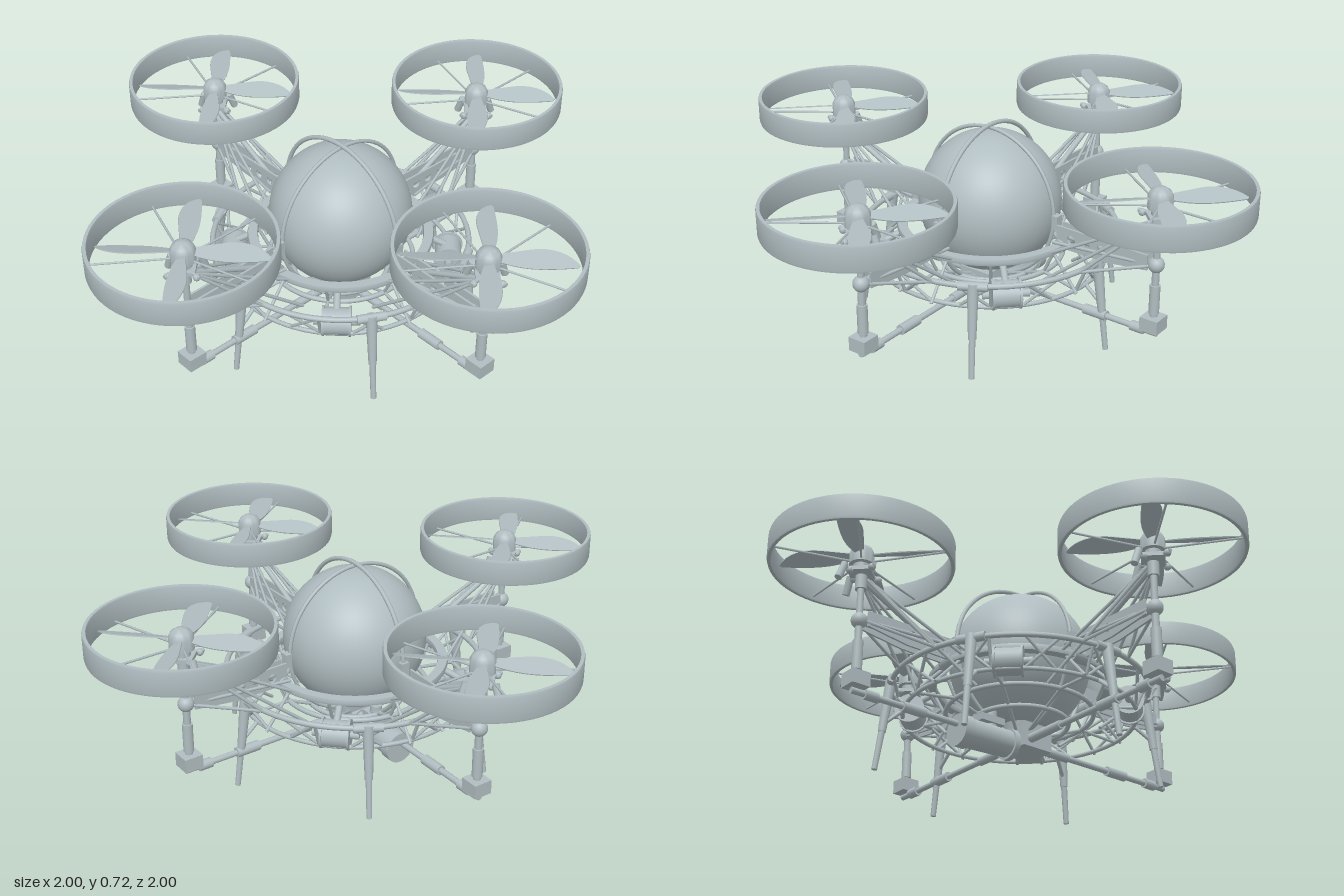
import * as THREE from 'three';
import { toCreasedNormals, mergeGeometries } from 'three/addons/utils/BufferGeometryUtils.js';

const steel = new THREE.MeshStandardMaterial({ color: 0xb0bdc1 });
steel.name = 'paleSteel';
const V = (x, y, z) => new THREE.Vector3(x, y, z);
const polar = (r, a, y) => V(r * Math.cos(a), y, r * Math.sin(a));

function add(parent, name, geo, x = 0, y = 0, z = 0) {
  const m = new THREE.Mesh(geo, steel);
  m.name = name;
  m.position.set(x, y, z);
  parent.add(m);
  return m;
}

// Cylinder between two points, ra at a and rb at b
function rodGeo(a, b, ra, rb = ra, sides = 10) {
  const d = b.clone().sub(a);
  const g = new THREE.CylinderGeometry(rb, ra, d.length(), sides);
  g.applyQuaternion(new THREE.Quaternion().setFromUnitVectors(V(0, 1, 0), d.normalize()));
  const c = a.clone().add(b).multiplyScalar(0.5);
  return g.translate(c.x, c.y, c.z);
}
const rod = (p, name, a, b, ra, rb, sides) => add(p, name, rodGeo(a, b, ra, rb, sides));
const rods = (p, name, list, r) => add(p, name, mergeGeometries(list.map(([a, b]) => rodGeo(a, b, r, r, 6))));

function ring(p, name, radius, tube, y) {
  const m = add(p, name, new THREE.TorusGeometry(radius, tube, 8, 72), 0, y, 0);
  m.rotation.x = Math.PI / 2;
  return m;
}
const lathe = (pts, seg = 64) =>
  toCreasedNormals(new THREE.LatheGeometry(pts.map(([r, y]) => new THREE.Vector2(r, y)), seg), 0.7);

// Ducted fan, built around its own axis
function makeRotor() {
  const g = new THREE.Group();
  g.name = 'rotor';
  add(g, 'duct', lathe([[0.3, 0.585], [0.311, 0.585], [0.313, 0.592], [0.313, 0.668], [0.311, 0.675],
    [0.3, 0.675], [0.298, 0.668], [0.298, 0.592], [0.3, 0.585]]));
  add(g, 'motorHub', lathe([[0, 0.555], [0.028, 0.555], [0.028, 0.59], [0.042, 0.592], [0.042, 0.635],
    [0.034, 0.652], [0.018, 0.663], [0, 0.666]], 28));
  const spokes = [];
  for (let i = 0; i < 5; i++) {
    const a = -i * Math.PI * 2 / 5;
    spokes.push([polar(0.02, a, 0.6), polar(0.3, a, 0.6)]);
  }
  rods(g, 'dustSpokes', spokes, 0.004).name = 'ductSpokes';

  const s = new THREE.Shape();
  s.moveTo(0.03, -0.014);
  s.bezierCurveTo(0.1, -0.04, 0.16, -0.045, 0.28, -0.03);
  s.lineTo(0.287, -0.022);
  s.bezierCurveTo(0.25, 0.03, 0.19, 0.042, 0.14, 0.034);
  s.lineTo(0.03, 0.014);
  const blade = new THREE.ExtrudeGeometry(s, { depth: 0.004, bevelEnabled: false, curveSegments: 8 });
  blade.rotateX(-Math.PI / 2 + 0.35);
  for (let i = 0; i < 4; i++) {
    add(g, 'blade', blade, 0, 0.625, 0).rotation.y = Math.PI / 4 + i * Math.PI / 2;
  }
  // Pitch servos and linkages below the hub
  add(g, 'servoPlate', new THREE.BoxGeometry(0.08, 0.014, 0.08), 0, 0.562, 0).rotation.y = Math.PI / 4;
  rod(g, 'linkageX', V(-0.08, 0.563, 0), V(0.08, 0.563, 0), 0.007);
  rod(g, 'linkageZ', V(0, 0.563, 0.08), V(0, 0.563, -0.08), 0.007);
  rod(g, 'servoX', V(0.065, 0.575, 0), V(0.088, 0.515, 0), 0.013);
  rod(g, 'servoZ', V(0, 0.575, -0.065), V(0, 0.515, -0.088), 0.013);
  for (const [x, z] of [[-0.065, 0], [0, 0.065], [0.045, 0], [0, -0.045]])
    add(g, 'linkageJoint', new THREE.SphereGeometry(0.013, 10, 8), x, 0.558, z);
  return g;
}

// Arm reaching out along +x
function makeArm() {
  const g = new THREE.Group();
  g.name = 'arm';
  const s = new THREE.Shape([[0.3, 0.345], [0.5, 0.345], [0.66, 0.365], [0.66, 0.42], [0.3, 0.425]]
    .map(([x, y]) => new THREE.Vector2(x, y)));
  for (const x of [0.36, 0.42, 0.48])
    s.holes.push(new THREE.Path().absarc(x, 0.385, 0.016, 0, Math.PI * 2, true));
  const plate = new THREE.ExtrudeGeometry(s, { depth: 0.008, bevelEnabled: false, curveSegments: 10 });
  for (const z of [-0.022, 0.014]) add(g, 'armPlate', plate, 0, 0, z);
  rod(g, 'armTube', V(0.3, 0.385, 0), V(0.69, 0.385, 0), 0.012);

  // Vertical post with ball joint and foot block
  add(g, 'ballJoint', new THREE.SphereGeometry(0.028, 20, 14), 0.683, 0.385, 0);
  rod(g, 'upperPost', V(0.683, 0.385, 0), V(0.683, 0.56, 0), 0.012);
  rod(g, 'postCollar', V(0.683, 0.5, 0), V(0.683, 0.55, 0), 0.02, 0.02, 16);
  rod(g, 'lowerPost', V(0.683, 0.17, 0), V(0.683, 0.385, 0), 0.013);
  rod(g, 'postSleeve', V(0.683, 0.205, 0), V(0.683, 0.31, 0), 0.018, 0.018, 16);
  add(g, 'postBlock', new THREE.BoxGeometry(0.068, 0.05, 0.068), 0.683, 0.168, 0);

  // Telescoping lower boom
  rod(g, 'lowerBoom', V(0.03, 0.13, 0), V(0.7, 0.13, 0), 0.011);
  for (const [a, b, r] of [[0.06, 0.22, 0.016], [0.41, 0.5, 0.018], [0.6, 0.65, 0.018]])
    rod(g, 'boomSleeve', V(a, 0.13, 0), V(b, 0.13, 0), r, r, 14);

  // Diagonal stays from the rotor to the frame
  const stays = [];
  for (const k of [-1, 1]) {
    stays.push([V(0.67, 0.535, 0.015 * k), V(0.45, 0.325, 0.1 * k)],
      [V(0.67, 0.535, 0.015 * k), V(0.3, 0.34, 0.08 * k)],
      [V(0.66, 0.53, 0.02 * k), V(0.28, 0.23, 0.11 * k)],
      [V(0.68, 0.385, 0.01 * k), V(0.45, 0.325, 0.1 * k)],
      [V(0.67, 0.385, 0.01 * k), V(0.31, 0.38, 0.06 * k)],
      [V(0.42, 0.22, 0.07 * k), V(0.3, 0.345, 0.05 * k)]);
  }
  rods(g, 'stays', stays, 0.006);
  rod(g, 'mainStay', V(0.665, 0.53, 0), V(0.32, 0.36, 0), 0.01);
  // Clamp where the arm meets the cradle
  rod(g, 'cradleClamp', V(0.313, 0.35, -0.03), V(0.313, 0.35, 0.03), 0.025, 0.025, 14);
  add(g, 'hoopClamp', new THREE.BoxGeometry(0.022, 0.05, 0.03), 0.285, 0.425, 0);
  return g;
}

export function createModel() {
  const model = new THREE.Group();
  model.name = 'quadRotorDrone';

  // Spherical body with crossed hoops
  add(model, 'sphereBody', new THREE.SphereGeometry(0.252, 64, 40), 0, 0.435, 0);
  add(model, 'sideHoop', new THREE.TorusGeometry(0.282, 0.008, 8, 72), 0, 0.432, 0).rotation.y = Math.PI / 2;
  add(model, 'frontHoop', new THREE.TorusGeometry(0.272, 0.007, 8, 72), 0, 0.432, 0);

  // Cradle rings
  add(model, 'cradleRing', lathe([[0.296, 0.335], [0.328, 0.335], [0.331, 0.345], [0.328, 0.357],
    [0.296, 0.357], [0.293, 0.345], [0.296, 0.335]]));
  ring(model, 'outerRing', 0.455, 0.01, 0.325);
  ring(model, 'lowerOuterRing', 0.41, 0.008, 0.225);
  ring(model, 'lowerInnerRing', 0.26, 0.009, 0.24);
  ring(model, 'bottomRing', 0.17, 0.009, 0.2);

  // Lattice between the rings
  const lattice = [];
  const n = 24;
  for (let i = 0; i < n; i++) {
    const a = (i + 0.5) * Math.PI * 2 / n, b = a + Math.PI * 2 / n;
    if (i % 2) lattice.push([polar(0.455, a, 0.325), polar(0.41, b, 0.225)],
      [polar(0.41, a, 0.225), polar(0.455, b, 0.325)]);
    if (i % 3 === 0) lattice.push([polar(0.455, a, 0.325), polar(0.41, a, 0.225)],
      [polar(0.31, a, 0.34), polar(0.26, a, 0.24)], [polar(0.26, a, 0.24), polar(0.06, a, 0.16)],
      [polar(0.41, a, 0.225), polar(0.26, a, 0.24)]);
  }
  rods(model, 'frameLattice', lattice, 0.006);

  // Arms and rotors
  for (let i = 0; i < 4; i++) {
    const arm = makeArm();
    arm.rotation.y = i * Math.PI / 2;
    model.add(arm);
    const rotor = makeRotor();
    rotor.position.copy(polar(0.685, i * Math.PI / 2, 0));
    model.add(rotor);

    // Diagonal drums
    const drum = new THREE.Group();
    drum.name = 'drum';
    drum.rotation.y = Math.PI / 4 + i * Math.PI / 2;
    rod(drum, 'drumBody', V(0.385, 0.26, -0.05), V(0.385, 0.26, 0.05), 0.047, 0.047, 24);
    for (const z of [-0.05, 0.042]) rod(drum, 'drumRim', V(0.385, 0.26, z), V(0.385, 0.26, z + 0.008), 0.053, 0.053, 24);
    rod(drum, 'drumAxle', V(0.385, 0.26, -0.08), V(0.385, 0.26, 0.08), 0.014);
    rod(drum, 'drumBracket', V(0.3, 0.335, 0), V(0.385, 0.29, 0), 0.012);
    model.add(drum);
  }

  // Six legs
  for (let i = 0; i < 6; i++) {
    const a = i * Math.PI / 3;
    rod(model, 'leg', polar(0.5, a, 0), polar(0.475, a, 0.18), 0.01, 0.012);
    rod(model, 'legSleeve', polar(0.48, a, 0.14), polar(0.455, a, 0.335), 0.014, 0.02, 14);
    const t = a + Math.PI / 2, c = polar(0.455, a, 0.325), d = polar(0.05, t, 0);
    rod(model, 'legClamp', c.clone().sub(d), c.clone().add(d), 0.016, 0.016, 12);
    rod(model, 'legBrace', polar(0.476, a, 0.17), polar(0.41, a, 0.225), 0.007);
  }

  // Central hub and rear camera pod
  add(model, 'hubBlock', new THREE.BoxGeometry(0.125, 0.09, 0.125), 0, 0.145, 0.03);
  rod(model, 'hubColumn', V(0, 0.13, 0), V(0, 0.22, 0), 0.05, 0.07, 24);
  rod(model, 'podBody', V(0, 0.113, -0.05), V(0, 0.108, -0.25), 0.048, 0.052, 32);
  rod(model, 'podRim', V(0, 0.108, -0.235), V(0, 0.108, -0.275), 0.057, 0.057, 32);
  rod(model, 'podCollar', V(0, 0.112, -0.04), V(0, 0.112, -0.06), 0.056, 0.056, 32);
  rod(model, 'podMount', V(0, 0.15, -0.13), V(0, 0.215, -0.13), 0.022, 0.022, 16);
  add(model, 'podBracket', new THREE.BoxGeometry(0.06, 0.025, 0.1), 0, 0.175, -0.14);
  return model;
}
